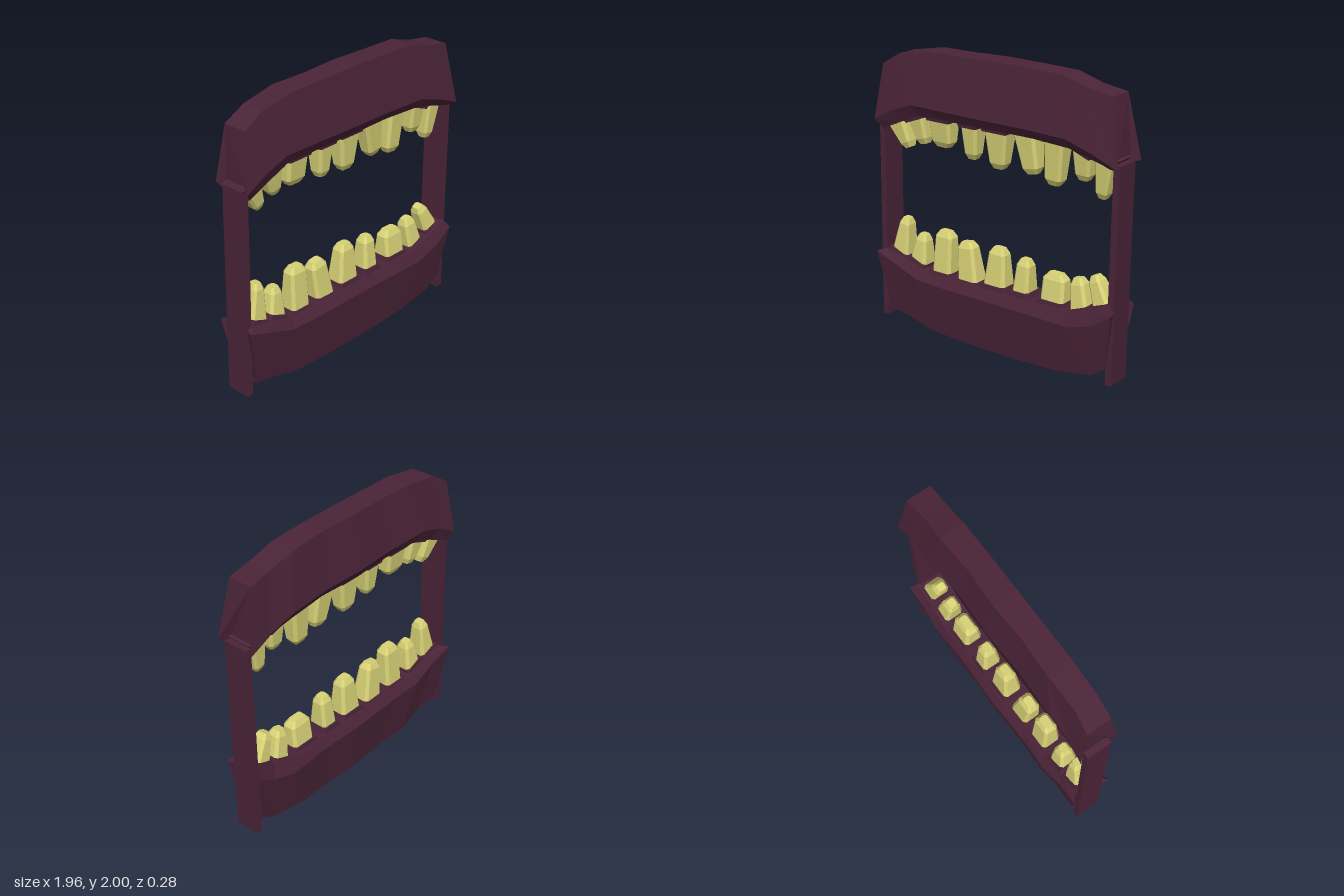
import * as THREE from 'three';

const gumMat = new THREE.MeshStandardMaterial({ color: 0x4b2438, flatShading: true });
gumMat.name = 'dark gum';
const toothMat = new THREE.MeshStandardMaterial({ color: 0xd9d377, flatShading: true });
toothMat.name = 'yellowed tooth';

// Solid skin through equal-length rings, each counter-clockwise seen from the far end.
function loft(rings) {
  const n = rings[0].length, last = (rings.length - 1) * n, index = [];
  for (let r = 0; r < rings.length - 1; r++) {
    for (let j = 0; j < n; j++) {
      const a = r * n + j, b = r * n + (j + 1) % n;
      index.push(a, b, b + n, a, b + n, a + n);
    }
  }
  for (let j = 1; j < n - 1; j++) {
    index.push(0, j + 1, j, last, last + j, last + j + 1);
  }
  const g = new THREE.BufferGeometry();
  g.setAttribute('position', new THREE.Float32BufferAttribute(rings.flat(2), 3));
  g.setIndex(index);
  const flat = g.toNonIndexed();
  flat.computeVertexNormals();
  return flat;
}

function part(name, geometry, material) {
  const mesh = new THREE.Mesh(geometry, material);
  mesh.name = name;
  return mesh;
}

// Gum bar: three rows of [x, y] stations, with half depths; the back is slightly wavy.
function gum(name, rows, depths) {
  const rings = rows[0].map((_, i) => {
    const wave = i % 2 ? 0.008 : -0.004;
    const p = (row, side) => {
      const [x, y] = rows[row][i];
      return [x, y, side > 0 ? depths[row] : -depths[row] + wave];
    };
    return [p(0, -1), p(0, 1), p(1, 1), p(2, 1), p(2, -1), p(1, -1)];
  });
  return part(name, loft(rings), gumMat);
}

// Rectangle with chamfered corners at height y
function ring(w, d, y, chamfer) {
  const x = w / 2, z = d / 2, c = chamfer * Math.min(w, d);
  return [[x, y, z - c], [x, y, -z + c], [x - c, y, -z], [-x + c, y, -z],
    [-x, y, -z + c], [-x, y, z - c], [-x + c, y, z], [x - c, y, z]];
}

// Tooth from its root to its tip, with a gum socket around the root
function tooth([x0, y0, x1, y1, rootW, tipW], dir) {
  const group = new THREE.Group();
  group.name = dir > 0 ? 'lowerTooth' : 'upperTooth';
  const len = Math.hypot(x1 - x0, y1 - y0);
  const crown = part('crown', loft([
    ring(rootW + 0.008, 0.145, -0.04, 0.14),
    ring(rootW, 0.14, 0, 0.14),
    ring(tipW, 0.1, len - 0.04, 0.18),
    ring(tipW * 0.62, 0.06, len, 0.2),
  ]), toothMat);
  crown.position.set(x0, y0, 0);
  crown.rotation.z = Math.atan2(x0 - x1, y1 - y0);

  const socket = part('socket', loft([
    ring(rootW + 0.06, 0.18, -0.06, 0.04),
    ring(rootW + 0.015, 0.16, 0.004, 0.04),
  ]), gumMat);
  socket.position.set(x0, y0, 0);
  const tilt = Math.abs(x0) > 0.58 ? dir * 0.36 * Math.sign(x0) : 0;
  socket.rotation.z = (dir > 0 ? 0 : Math.PI) + tilt;
  group.add(crown, socket);
  return group;
}

// Slanted side post
function post(name, topX, bottomX, topY) {
  const at = (x, y) => ring(0.045, 0.175, y, 0).map(([px, py, pz]) => [px + x, py, pz]);
  return part(name, loft([at(bottomX, 0.03), at(topX, topY)]), gumMat);
}

export function createModel() {
  const model = new THREE.Group();
  model.name = 'toothedFrame';

  // Gums
  model.add(gum('upperGum', [
    [[-0.92, 1.86], [-0.78, 1.945], [-0.53, 1.99], [-0.27, 1.995], [0, 2], [0.27, 2], [0.54, 1.99], [0.73, 1.94], [0.9, 1.91]],
    [[-0.965, 1.48], [-0.82, 1.56], [-0.64, 1.625], [-0.3, 1.623], [0, 1.62], [0.3, 1.62], [0.6, 1.61], [0.8, 1.55], [0.975, 1.48]],
    [[-0.92, 1.415], [-0.76, 1.485], [-0.6, 1.55], [-0.3, 1.555], [0, 1.555], [0.3, 1.56], [0.6, 1.545], [0.75, 1.51], [0.92, 1.465]],
  ], [0.085, 0.138, 0.1]));
  model.add(gum('lowerGum', [
    [[-0.925, 0.54], [-0.76, 0.5], [-0.58, 0.447], [-0.3, 0.445], [0, 0.447], [0.3, 0.45], [0.6, 0.465], [0.76, 0.51], [0.92, 0.585]],
    [[-0.98, 0.52], [-0.8, 0.455], [-0.62, 0.39], [-0.4, 0.38], [0, 0.38], [0.3, 0.378], [0.64, 0.375], [0.82, 0.43], [0.96, 0.525]],
    [[-0.9, 0.095], [-0.72, 0.065], [-0.54, 0.015], [-0.3, 0.003], [0, 0], [0.25, 0.004], [0.52, 0.015], [0.78, 0.06], [0.9, 0.135]],
  ], [0.1, 0.138, 0.085]));

  // Posts
  model.add(post('rightPost', -0.94, -0.958, 1.47));
  model.add(post('leftPost', 0.945, 0.925, 1.49));

  // Teeth: root x, root y, tip x, tip y, root width, tip width
  const upper = [
    [-0.845, 1.46, -0.765, 1.285, 0.15, 0.09], [-0.67, 1.505, -0.63, 1.335, 0.14, 0.1],
    [-0.463, 1.53, -0.465, 1.343, 0.175, 0.16], [-0.215, 1.53, -0.217, 1.305, 0.13, 0.1],
    [0.003, 1.535, 0, 1.28, 0.18, 0.125], [0.23, 1.555, 0.272, 1.295, 0.165, 0.125],
    [0.457, 1.55, 0.437, 1.255, 0.15, 0.125], [0.668, 1.515, 0.66, 1.33, 0.135, 0.11],
    [0.83, 1.485, 0.8, 1.24, 0.125, 0.085],
  ];
  const lower = [
    [-0.835, 0.53, -0.803, 0.77, 0.14, 0.085], [-0.672, 0.495, -0.655, 0.68, 0.135, 0.095],
    [-0.463, 0.455, -0.456, 0.748, 0.155, 0.14], [-0.237, 0.448, -0.273, 0.71, 0.16, 0.135],
    [-0.01, 0.47, 0, 0.73, 0.175, 0.13], [0.208, 0.48, 0.217, 0.7, 0.125, 0.105],
    [0.46, 0.48, 0.46, 0.662, 0.18, 0.17], [0.67, 0.485, 0.633, 0.672, 0.13, 0.105],
    [0.833, 0.55, 0.757, 0.72, 0.125, 0.09],
  ];
  for (const t of upper) model.add(tooth(t, -1));
  for (const t of lower) model.add(tooth(t, 1));
  return model;
}
